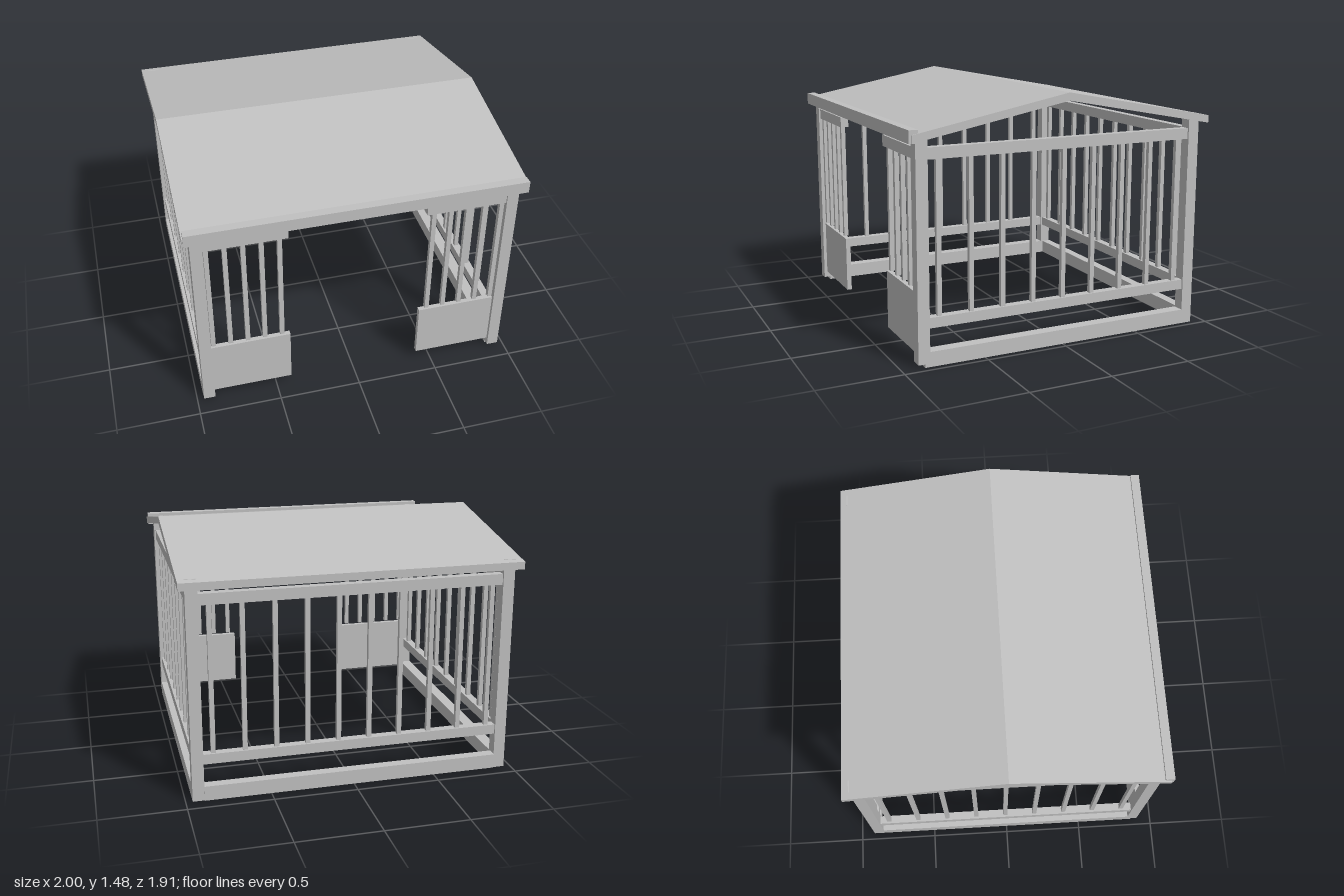
import * as THREE from 'three';

export function createModel() {
  const model = new THREE.Group();
  model.name = 'shelter';
  const grey = new THREE.MeshStandardMaterial({ color: 0xc0c0c0 });
  grey.name = 'painted steel grey';

  // Box given by its minimum and maximum on each axis
  function box(name, [x0, x1], [y0, y1], [z0, z1]) {
    const mesh = new THREE.Mesh(new THREE.BoxGeometry(x1 - x0, y1 - y0, z1 - z0), grey);
    mesh.name = name;
    mesh.position.set((x0 + x1) / 2, (y0 + y1) / 2, (z0 + z1) / 2);
    model.add(mesh);
  }
  // Same, mirrored to the given side in x
  const sided = (s, a, b) => (s > 0 ? [a, b] : [-b, -a]);
  const around = (c, w) => [c - w / 2, c + w / 2];

  const topRail = [1.16, 1.225];
  const midRail = [0.22, 0.28];
  const baseRail = [0, 0.088];
  const bar = 0.027;
  const railDepth = 0.05;

  for (const s of [1, -1]) {
    const side = s > 0 ? 'left' : 'right';

    // Corner posts, their tops just breaking through the roof
    box(side + 'FrontPost', sided(s, 0.89, 0.96), [0.02, 1.312], [0.835, 0.905]);
    box(side + 'BackPost', sided(s, 0.89, 0.96), [0.02, 1.312], [-0.915, -0.845]);

    // Side wall rails and bars
    box(side + 'BaseRail', sided(s, 0.89, 0.96), baseRail, [-0.915, 0.865]);
    box(side + 'MidRail', sided(s, 0.9, 0.95), midRail, [-0.845, 0.835]);
    box(side + 'TopRail', sided(s, 0.9, 0.95), topRail, [-0.845, 0.835]);
    for (let i = 0; i < 9; i++) {
      box(side + 'SideBar', around(s * 0.925, bar), [0.28, 1.16], around(0.767 - i * 0.194, bar));
    }

    // Front wing: solid panel, short rail and bars beside the opening
    box(side + 'FrontPanel', sided(s, 0.407, 0.89), [0.06, 0.413], around(0.87, 0.03));
    box(side + 'FrontTopRail', sided(s, 0.407, 0.89), topRail, around(0.87, railDepth));
    for (let i = 0; i < 5; i++) {
      box(side + 'FrontBar', around(s * (0.872 - i * 0.104), bar), [0.425, 1.16], around(0.87, bar));
    }
  }

  // Back wall
  box('backBaseRail', [-0.89, 0.89], baseRail, [-0.92, -0.86]);
  box('backMidRail', [-0.89, 0.89], midRail, around(-0.88, railDepth));
  box('backTopRail', [-0.89, 0.89], topRail, around(-0.88, railDepth));
  for (let i = 0; i < 10; i++) {
    box('backBar', around(-0.836 + i * 0.185, bar), [0.28, 1.16], around(-0.88, bar));
  }

  // Gabled roof slab, profile in z and y, extruded across x
  const profile = new THREE.Shape([
    [-0.955, 1.258], [0, 1.437], [0.94, 1.258],
    [0.94, 1.303], [0, 1.483], [-0.955, 1.303],
  ].map(([z, y]) => new THREE.Vector2(z, y)));
  const roofGeometry = new THREE.ExtrudeGeometry(profile, { depth: 2, bevelEnabled: false });
  roofGeometry.translate(0, 0, -1).rotateY(-Math.PI / 2);
  const roof = new THREE.Mesh(roofGeometry, grey);
  roof.name = 'roof';
  model.add(roof);

  // Fascia along the front eave
  box('frontFascia', [-0.993, 0.993], [1.257, 1.33], [0.9, 0.953]);

  return model;
}
